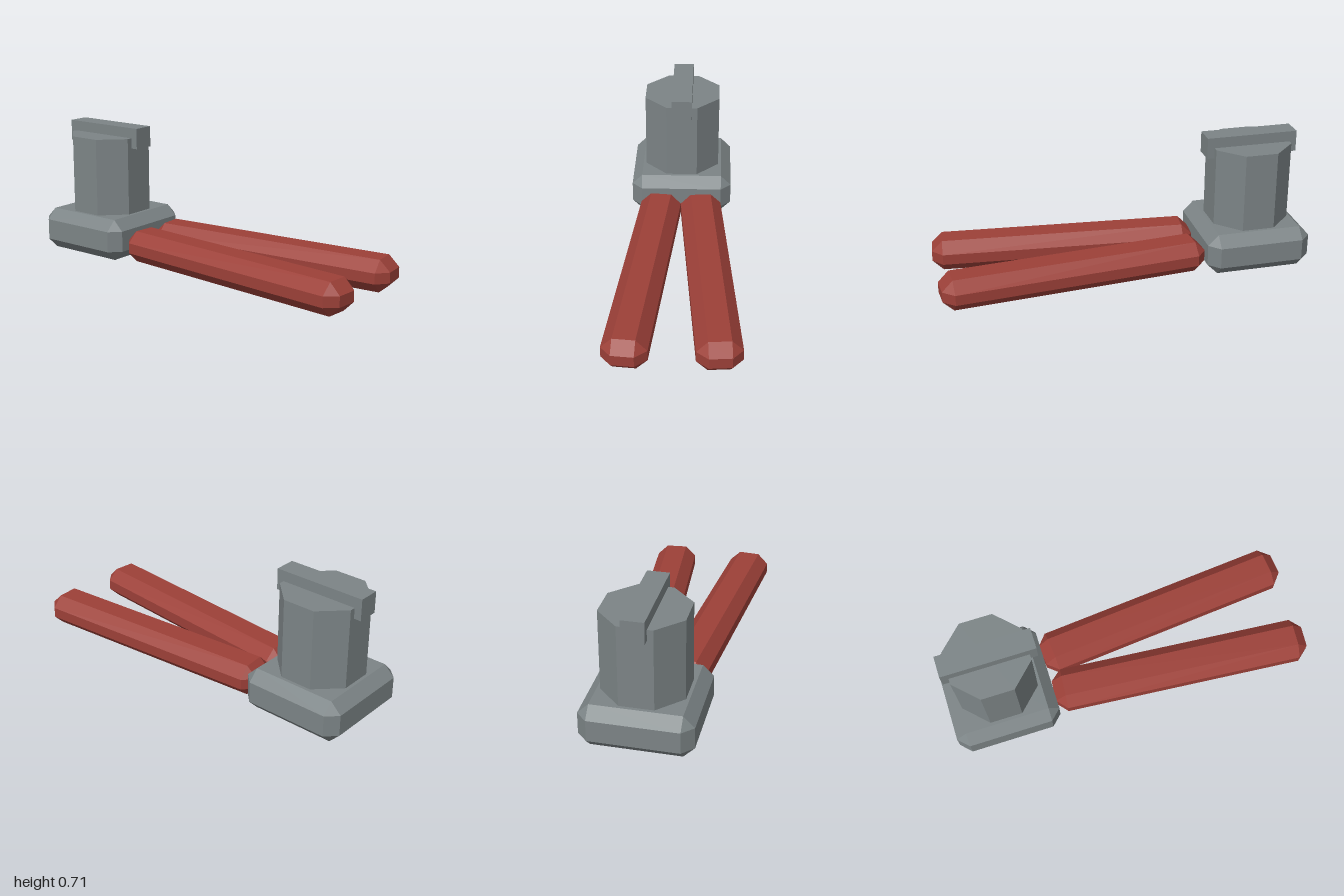
import * as THREE from 'three';
import { ConvexGeometry } from 'three/addons/geometries/ConvexGeometry.js';

const U = 2 / 35; // modelling unit

// Box with every edge cut at 45 degrees by c
function chamferBox(w, h, d, c) {
  const half = [w / 2, h / 2, d / 2];
  const points = [];
  for (const sx of [-1, 1]) for (const sy of [-1, 1]) for (const sz of [-1, 1]) {
    for (let full = 0; full < 3; full++) {
      const p = half.map((v, i) => (i === full ? v : v - c));
      points.push(new THREE.Vector3(sx * p[0], sy * p[1], sz * p[2]));
    }
  }
  return new ConvexGeometry(points);
}

export function createModel() {
  const model = new THREE.Group();
  const grey = new THREE.MeshStandardMaterial({ name: 'stone grey', color: 0x7c8486, flatShading: true });
  const red = new THREE.MeshStandardMaterial({ name: 'brick red', color: 0x9c4038, flatShading: true });

  const add = (name, geometry, material, x, y, z = 0) => {
    const mesh = new THREE.Mesh(geometry, material);
    mesh.name = name;
    mesh.position.set(x, y, z);
    model.add(mesh);
    return mesh;
  };

  // Base block, octagonal column and the crossbar let into its top
  const cx = -1 + 5 * U;
  add('base', chamferBox(10 * U, 4 * U, 10 * U, U), grey, cx, 2 * U);
  const column = new THREE.CylinderGeometry(4 * U, 4 * U, 7.5 * U, 8);
  column.rotateY(Math.PI / 8);
  add('column', column, grey, cx, 7.75 * U);
  add('crossbar', new THREE.BoxGeometry(8.75 * U, 2 * U, 2 * U), grey, cx, 11.5 * U);

  // Two long bars spreading apart from the base
  const barShape = chamferBox(25 * U, 3 * U, 4 * U, U);
  for (const side of [-1, 1]) {
    const bar = add(side > 0 ? 'frontBar' : 'backBar', barShape, red, 0.284, 1.5 * U, side * 0.171);
    bar.rotation.y = -side * THREE.MathUtils.degToRad(5);
  }
  return model;
}
